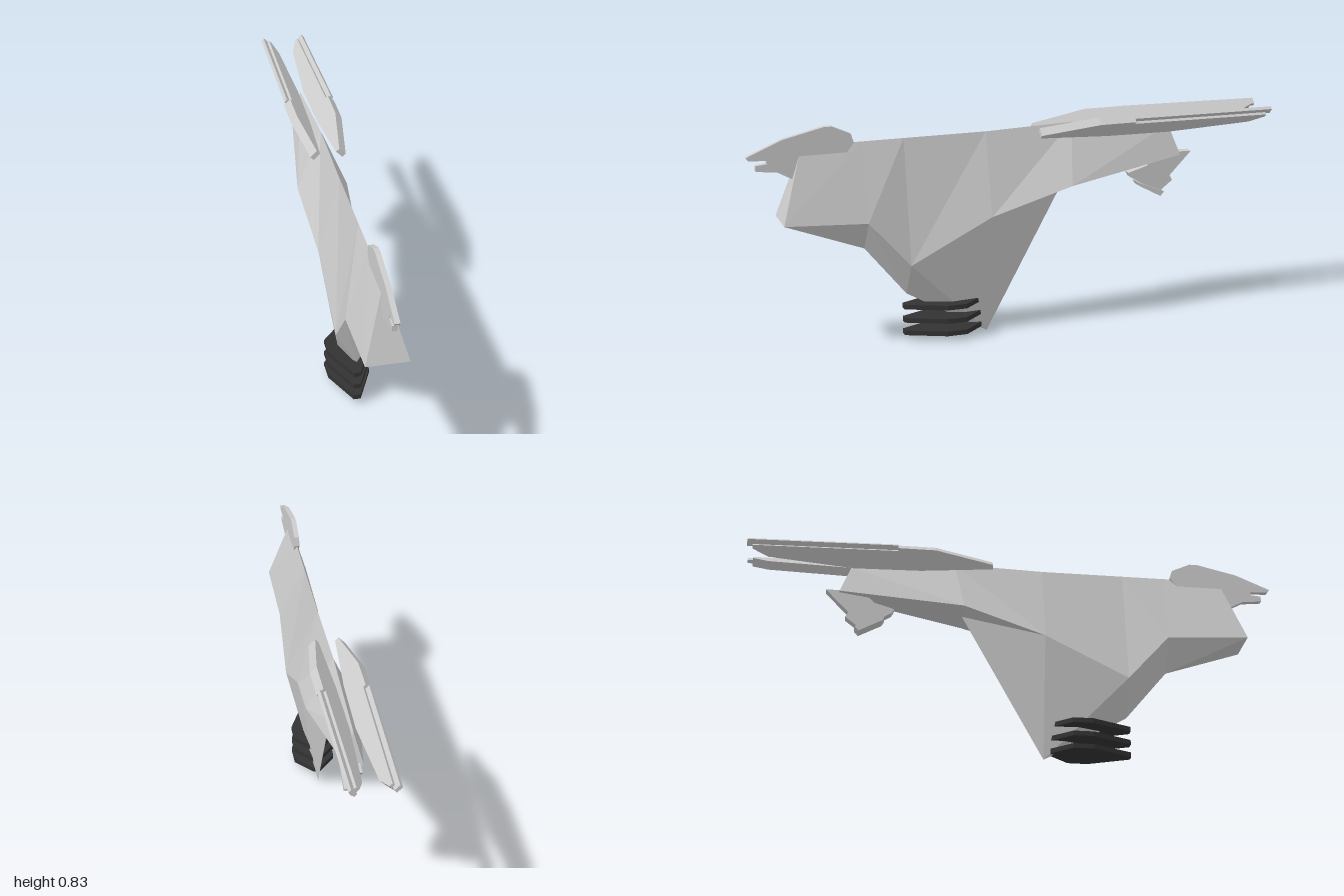
import * as THREE from 'three';

const grey = new THREE.MeshStandardMaterial({ color: 0xcccccc, flatShading: true });
const dark = new THREE.MeshStandardMaterial({ color: 0x333333, flatShading: true });

// Flat plate outlined in (z, y), centred on x = 0, then tilted about the z axis
function plate(name, outline, thickness, tilt = 0, material = grey) {
  const shape = new THREE.Shape(outline.map(([z, y]) => new THREE.Vector2(z, y)));
  const geo = new THREE.ExtrudeGeometry(shape, { depth: thickness, bevelEnabled: false });
  geo.translate(0, 0, -thickness / 2).rotateY(-Math.PI / 2).rotateZ(tilt);
  const mesh = new THREE.Mesh(geo, material);
  mesh.name = name;
  return mesh;
}

// Hull: faceted loft through ridge, side and keel points, mirrored in x
function hull() {
  // each station: ridge, side, keel as [x, y, z]
  const stations = [
    [[0, 0.77, 0.8], [0.077, 0.503, 0.885], [0, 0.503, 0.885]],
    [[0, 0.77, 0.58], [0.077, 0.485, 0.58], [0, 0.37, 0.58]],
    [[0, 0.77, 0.425], [0.077, 0.31, 0.425], [0, 0.18, 0.425]],
    [[0, 0.77, 0.115], [0.077, 0.465, 0.115], [0, 0, 0.115]],
    [[0, 0.78, -0.22], [0.095, 0.56, -0.19], [0, 0.56, -0.19]],
    [[0, 0.74, -0.61], [0.03, 0.625, -0.65], [0, 0.625, -0.65]],
  ];
  const pos = [];
  const tri = (a, b, c) => {
    pos.push(...a, ...b, ...c);
    for (const p of [a, c, b]) pos.push(-p[0], p[1], p[2]);
  };
  for (let i = 0; i < stations.length - 1; i++) {
    const [r0, s0, k0] = stations[i];
    const [r1, s1, k1] = stations[i + 1];
    tri(r0, s0, r1);
    tri(s0, s1, r1);
    if (i > 0) tri(s0, k0, k1);
    else tri(s0, k0, k1);
    tri(s0, k1, s1);
  }
  // nose and tail caps
  const [nr, ns, nk] = stations[0];
  const [tr, ts, tk] = stations[stations.length - 1];
  tri(nr, nk, ns);
  tri(tr, ts, tk);
  const geo = new THREE.BufferGeometry();
  geo.setAttribute('position', new THREE.Float32BufferAttribute(pos, 3));
  geo.computeVertexNormals();
  const mesh = new THREE.Mesh(geo, grey);
  mesh.name = 'hull';
  return mesh;
}

// Swept wing with a thin blade along its outer edge; side is +1 or -1
function wing(side) {
  const group = new THREE.Group();
  group.name = side > 0 ? 'leftWing' : 'rightWing';
  const across = (pts) => pts.map(([z, u]) => [z, u * Math.SQRT2]);
  const tilt = -side * Math.PI / 4;
  group.add(plate('wingPanel', across([
    [-0.08, 0.042], [-0.08, 0.054], [-0.3, 0.085], [-0.44, 0.085], [-0.44, 0.077],
    [-0.98, 0.07], [-0.98, 0.06], [-0.92, 0.04], [-0.6, 0.022], [-0.35, 0.026],
  ]), 0.034, tilt));
  group.add(plate('wingBlade', across([
    [-0.44, 0.07], [-0.44, 0.09], [-1, 0.083], [-1, 0.064],
  ]), 0.013, tilt));
  group.position.y = 0.71;
  return group;
}

export function createModel() {
  const model = new THREE.Group();
  model.name = 'spaceship';
  model.add(hull(), wing(1), wing(-1));

  // Notched crest on the nose
  model.add(plate('noseCrest', [
    [1, 0.745], [0.87, 0.8], [0.72, 0.835], [0.69, 0.835], [0.62, 0.803], [0.61, 0.77],
    [0.65, 0.72], [0.8, 0.665], [0.83, 0.652], [0.89, 0.685], [0.965, 0.693],
    [0.965, 0.714], [0.925, 0.718], [0.925, 0.73], [0.99, 0.733],
  ], 0.019));

  // Fin under the tail with a wider foot
  model.add(plate('tailFin', [
    [-0.54, 0.61], [-0.52, 0.59], [-0.445, 0.568], [-0.455, 0.55], [-0.57, 0.482],
    [-0.625, 0.525], [-0.615, 0.545], [-0.7, 0.633], [-0.64, 0.635],
  ], 0.034));
  model.add(plate('tailFoot', [
    [-0.48, 0.53], [-0.488, 0.515], [-0.575, 0.468], [-0.59, 0.485],
  ], 0.05));

  // Three stacked antenna plates, pointed at front and back
  for (const y of [0.031, 0.08, 0.132]) {
    const p = plate('antennaPlate', [
      [0.437, -0.013], [0.437, 0.013], [0.29, 0.077], [0.215, 0.077],
      [0.14, 0.013], [0.14, -0.013], [0.215, -0.077], [0.29, -0.077],
    ], 0.018, -Math.PI / 2, dark);
    p.position.y = y;
    model.add(p);
  }
  return model;
}
